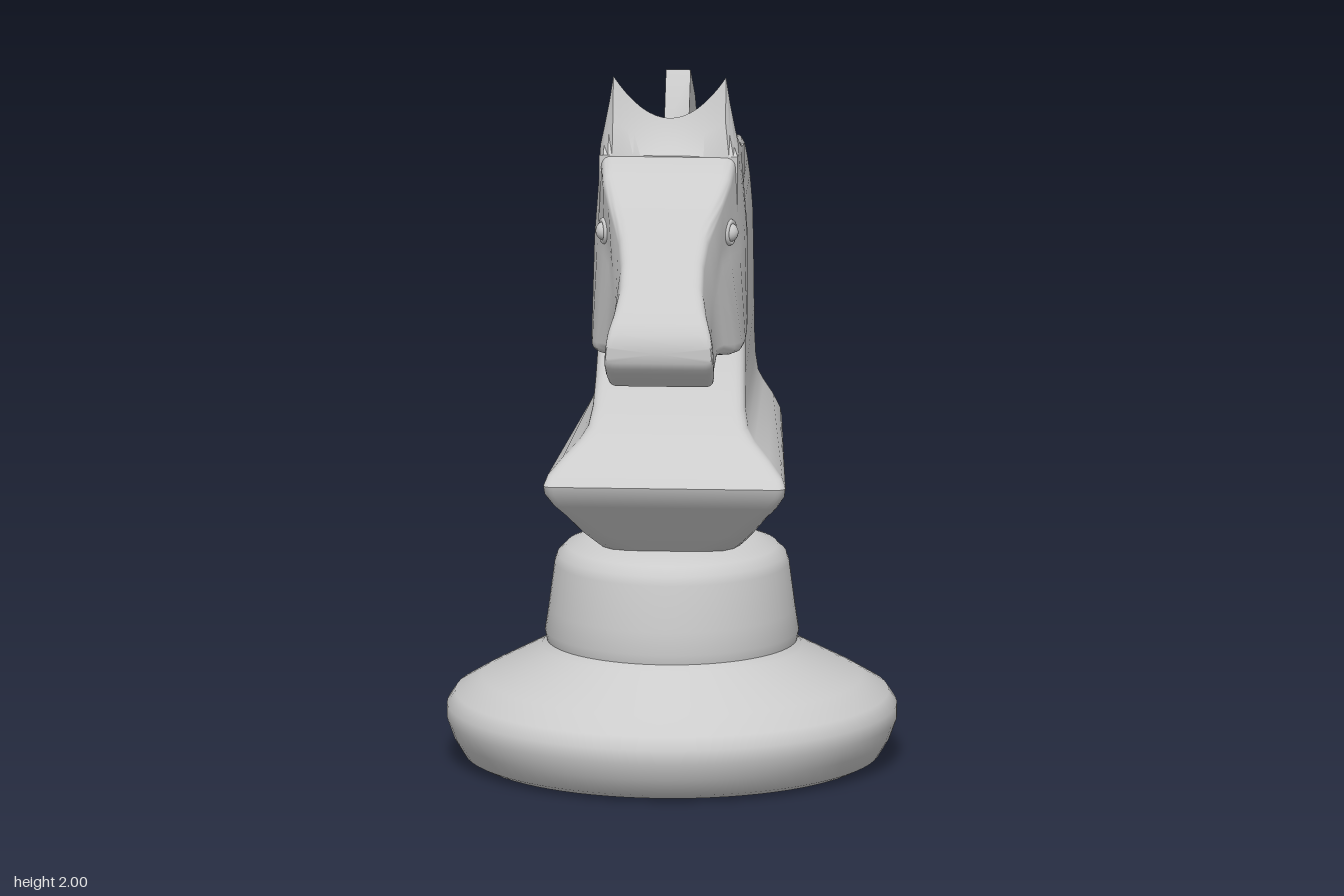
import * as THREE from 'three';
import { toCreasedNormals } from 'three/addons/utils/BufferGeometryUtils.js';

const material = new THREE.MeshStandardMaterial({ color: 0xcccccc });

// Round the corners of a polygon [[u, v], ...] by distance r
function roundRing(corners, r, steps = 5) {
  const pts = corners.map(([u, v]) => new THREE.Vector2(u, v));
  const n = pts.length, out = [];
  pts.forEach((p, i) => {
    const cut = (q) => {
      const d = q.clone().sub(p), len = d.length();
      return d.multiplyScalar(Math.min(r, len * 0.45) / len).add(p);
    };
    const curve = new THREE.QuadraticBezierCurve(cut(pts[(i + n - 1) % n]), p, cut(pts[(i + 1) % n]));
    out.push(...curve.getPoints(steps));
  });
  return out;
}

// Skin a list of rings (counter-clockwise seen against the travel) and cap the ends
function loft(rings, crease = 0.6) {
  const n = rings[0].length, pos = [], idx = [];
  rings.forEach((ring) => ring.forEach((p) => pos.push(p.x, p.y, p.z)));
  for (let i = 0; i < rings.length - 1; i++) {
    for (let j = 0; j < n; j++) {
      const a = i * n + j, b = i * n + (j + 1) % n;
      idx.push(a, b, b + n, a, b + n, a + n);
    }
  }
  [0, rings.length - 1].forEach((i) => {
    const c = rings[i].reduce((s, p) => s.add(p), new THREE.Vector3()).divideScalar(n);
    const k = pos.length / 3;
    pos.push(c.x, c.y, c.z);
    for (let j = 0; j < n; j++) {
      const a = i * n + j, b = i * n + (j + 1) % n;
      if (i === 0) idx.push(b, a, k); else idx.push(a, b, k);
    }
  });
  const g = new THREE.BufferGeometry();
  g.setAttribute('position', new THREE.Float32BufferAttribute(pos, 3));
  g.setIndex(idx);
  return toCreasedNormals(g, crease);
}

function createModel() {
  const model = new THREE.Group();
  const add = (name, geometry) => {
    const mesh = new THREE.Mesh(geometry, material);
    mesh.name = name;
    model.add(mesh);
    return mesh;
  };

  // Turned foot and collar
  const profile = [[0, 0], [0.56, 0.005], [0.59, 0.02], [0.62, 0.07], [0.638, 0.12], [0.638, 0.16], [0.615, 0.195],
    [0.54, 0.24], [0.37, 0.33], [0.355, 0.347], [0.36, 0.375], [0.35, 0.44], [0.333, 0.57], [0.325, 0.595],
    [0.3, 0.62], [0.24, 0.645], [0, 0.65]].map(([x, y]) => new THREE.Vector2(x, y));
  add('base', toCreasedNormals(new THREE.LatheGeometry(profile, 72), 0.6)).position.z = 0.063;

  // Chest and neck: y, front z, back z, front half width, back half width, corner radius
  const neckRows = [
    [0.64, 0.27, -0.11, 0.21, 0.18, 0.15],
    [0.66, 0.29, -0.15, 0.225, 0.19, 0.13],
    [0.70, 0.325, -0.21, 0.25, 0.2, 0.08],
    [0.76, 0.37, -0.285, 0.29, 0.22, 0.05],
    [0.80, 0.41, -0.4, 0.32, 0.24, 0.035],
    [0.84, 0.44, -0.54, 0.343, 0.265, 0.03],
    [0.865, 0.447, -0.55, 0.346, 0.275, 0.03],
    [0.89, 0.425, -0.552, 0.335, 0.27, 0.03],
    [0.93, 0.37, -0.552, 0.295, 0.25, 0.03],
    [0.97, 0.315, -0.55, 0.25, 0.225, 0.035],
    [1.00, 0.28, -0.549, 0.228, 0.21, 0.04],
    [1.05, 0.235, -0.545, 0.217, 0.203, 0.04],
    [1.12, 0.175, -0.538, 0.213, 0.2, 0.04],
    [1.20, 0.118, -0.527, 0.21, 0.2, 0.04],
    [1.27, 0.08, -0.515, 0.208, 0.2, 0.04],
    [1.32, 0.072, -0.506, 0.207, 0.2, 0.04],
    [1.40, 0.06, -0.488, 0.207, 0.2, 0.04],
    [1.50, 0.05, -0.455, 0.205, 0.2, 0.04],
    [1.60, 0.03, -0.41, 0.203, 0.195, 0.04],
    [1.66, 0.02, -0.37, 0.2, 0.19, 0.04],
    [1.71, 0, -0.32, 0.196, 0.185, 0.04],
    [1.74, -0.01, -0.265, 0.19, 0.178, 0.04],
    [1.757, -0.03, -0.2, 0.18, 0.165, 0.04],
  ];
  add('chestAndNeck', loft(neckRows.map(([y, zf, zb, wf, wb, r]) =>
    roundRing([[zb, -wb], [zf, -wf], [zf, wf], [zb, wb]], r).map((p) => new THREE.Vector3(p.y, y, p.x)))));

  // Head: z, bottom y, middle y, top y, and half widths at those heights
  const headRows = [
    [-0.1, 1.4, 1.58, 1.752, 0.19, 0.195, 0.185],
    [0.0, 1.34, 1.56, 1.775, 0.2, 0.207, 0.19],
    [0.07, 1.3, 1.54, 1.79, 0.212, 0.215, 0.195],
    [0.11, 1.265, 1.53, 1.79, 0.218, 0.217, 0.195],
    [0.17, 1.24, 1.53, 1.79, 0.22, 0.214, 0.195],
    [0.23, 1.232, 1.53, 1.785, 0.22, 0.202, 0.19],
    [0.3, 1.232, 1.53, 1.74, 0.216, 0.178, 0.183],
    [0.36, 1.238, 1.52, 1.692, 0.2, 0.158, 0.165],
    [0.42, 1.25, 1.47, 1.64, 0.172, 0.15, 0.14],
    [0.46, 1.25, 1.43, 1.602, 0.155, 0.142, 0.125],
    [0.52, 1.215, 1.38, 1.545, 0.15, 0.138, 0.115],
    [0.58, 1.192, 1.34, 1.485, 0.152, 0.142, 0.115],
    [0.63, 1.22, 1.33, 1.435, 0.155, 0.15, 0.125],
    [0.67, 1.248, 1.32, 1.395, 0.156, 0.154, 0.14],
    [0.69, 1.265, 1.315, 1.365, 0.155, 0.153, 0.146],
    [0.7, 1.285, 1.312, 1.34, 0.15, 0.15, 0.146],
  ];
  add('head', loft(headRows.map(([z, yb, ym, yt, wb, wm, wt]) =>
    roundRing([[-wb, yb], [wb, yb], [wm, ym], [wt, yt], [-wt, yt], [-wm, ym]], 0.03)
      .map((p) => new THREE.Vector3(p.x, p.y, z))), 0.75));

  // Ears: one crest dipping in the middle and rising to two points
  const earRings = [];
  const inner = 16;
  const xs = [-0.197, -0.185, -0.172];
  for (let i = 0; i <= inner; i++) xs.push(-0.16 + 0.32 * i / inner);
  xs.push(0.172, 0.185, 0.197);
  xs.forEach((x) => {
    const a = Math.abs(x);
    const h = a <= 0.16001 ? 1.88 + 0.12 * (a / 0.16) ** 2 : 2 - 0.2 * ((a - 0.16) / 0.037) ** 0.85;
    const up = (t) => 1.755 + (h - 1.755) * t;
    earRings.push([[1.6, -0.08], [1.755, -0.08], [up(0.14), -0.02], [up(0.34), 0.03], [up(0.58), 0.08],
      [h, 0.168], [up(0.5), 0.197], [1.785, 0.235], [1.6, 0.235]].map(([y, z]) => new THREE.Vector3(x, y, z)));
  });
  add('ears', loft(earRings, 0.6));

  // Mane: a thin upright fin along the back of the neck
  const mane = new THREE.Shape();
  mane.moveTo(-0.13, 1.76);
  mane.lineTo(-0.237, 1.93);
  mane.lineTo(-0.45, 1.81);
  mane.splineThru([[-0.53, 1.73], [-0.6, 1.61], [-0.66, 1.44], [-0.695, 1.28], [-0.7, 1.17], [-0.685, 1.05], [-0.655, 0.95]]
    .map(([z, y]) => new THREE.Vector2(z, y)));
  mane.lineTo(-0.545, 0.845);
  mane.lineTo(-0.45, 0.9);
  mane.lineTo(-0.4, 1.4);
  mane.lineTo(-0.13, 1.7);
  const fin = new THREE.ExtrudeGeometry(mane, { depth: 0.07, bevelEnabled: false, curveSegments: 28 });
  fin.translate(0, 0, -0.035).rotateY(-Math.PI / 2);
  add('mane', toCreasedNormals(fin, 0.6));

  // Eyes with a thin lid ring
  for (const side of [-1, 1]) {
    const eye = add(side > 0 ? 'leftEye' : 'rightEye', new THREE.SphereGeometry(0.028, 20, 14));
    eye.position.set(side * 0.175, 1.58, 0.3);
    const lid = add(side > 0 ? 'leftEyelid' : 'rightEyelid', new THREE.TorusGeometry(0.03, 0.008, 8, 24));
    lid.position.set(side * 0.18, 1.58, 0.3);
    lid.rotation.y = side * 1.25;
  }
  return model;
}

export { createModel };
